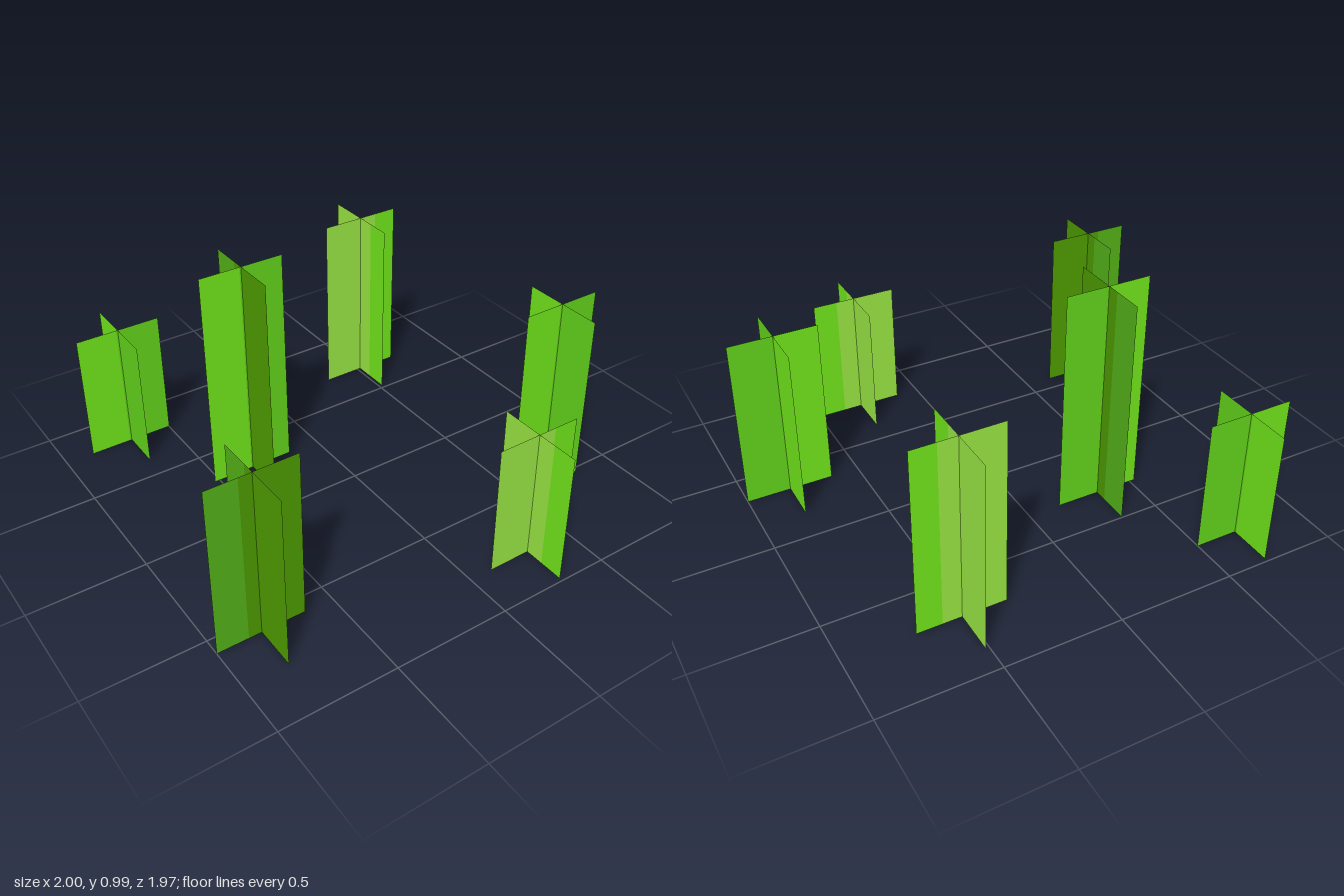
import * as THREE from 'three';

const WIDTH = 0.378;

function makeMaterial(name, color) {
  const m = new THREE.MeshStandardMaterial({ color, side: THREE.DoubleSide });
  m.name = name;
  return m;
}

export function createModel() {
  const pale = makeMaterial('paleGreen', 0x9ae743);
  const bright = makeMaterial('brightGreen', 0x73e91a);
  const medium = makeMaterial('mediumGreen', 0x64d41a);
  const olive = makeMaterial('darkOliveGreen', 0x4e9c00);
  const deep = makeMaterial('deepGreen', 0x54b218);

  // Two-tone blades: colour on the negative side, on the positive side, and where they meet
  const paleBlade = [pale, bright, 0.715];
  const brightBlade = [bright, medium, 0.48];
  const darkBlade = [deep, olive, 0.355];

  // One upright card along x, split into two vertical colour bands
  function blade(name, height, [low, high, split]) {
    const group = new THREE.Group();
    group.name = name;
    const bands = [[0, split, low], [split, 1, high]];
    bands.forEach(([from, to, material], i) => {
      const geometry = new THREE.PlaneGeometry((to - from) * WIDTH, height);
      geometry.translate(((from + to) / 2 - 0.5) * WIDTH, height / 2, 0);
      const mesh = new THREE.Mesh(geometry, material);
      mesh.name = name + (i ? 'HighBand' : 'LowBand');
      group.add(mesh);
    });
    return group;
  }

  // Tufts: x, z, height, blade across x, blade across z
  const tufts = [
    [-0.811, 0.576, 0.745, darkBlade, darkBlade],
    [-0.687, -0.796, 0.58, brightBlade, brightBlade],
    [-0.334, -0.308, 0.991, brightBlade, darkBlade],
    [0.291, 0.797, 0.577, paleBlade, paleBlade],
    [0.515, -0.704, 0.822, paleBlade, paleBlade],
    [0.811, 0.338, 0.757, brightBlade, brightBlade],
  ];

  const model = new THREE.Group();
  model.name = 'grassPatch';
  tufts.forEach(([x, z, height, across, along], i) => {
    const tuft = new THREE.Group();
    tuft.name = 'grassTuft' + (i + 1);
    const side = blade('sideBlade', height, along);
    side.rotation.y = -Math.PI / 2; // local +x becomes +z
    tuft.add(blade('frontBlade', height, across), side);
    tuft.position.set(x, 0, z);
    model.add(tuft);
  });
  return model;
}
